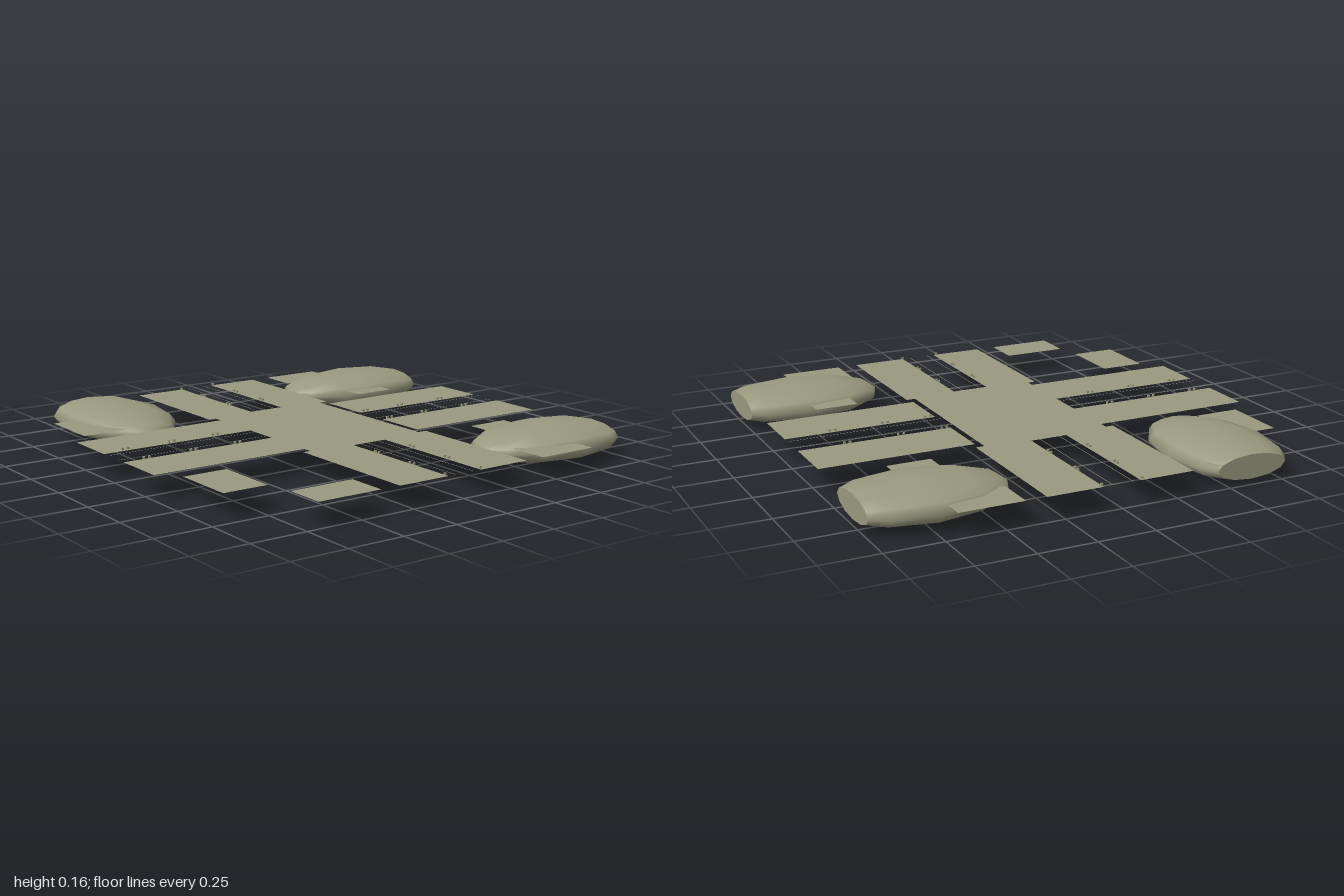
import * as THREE from 'three';

const LEVEL = 0.105;
const material = new THREE.MeshStandardMaterial({ color: 0x9a9a80 });
const thin = new THREE.MeshStandardMaterial({ color: 0x9a9a80, side: THREE.DoubleSide });

function add(parent, name, geometry, mat = material) {
  const mesh = new THREE.Mesh(geometry, mat);
  mesh.name = name;
  parent.add(mesh);
  return mesh;
}

// Flat rectangle between two corners on the ground level
function slab(parent, name, x0, x1, z0, z1) {
  const geometry = new THREE.PlaneGeometry(Math.abs(x1 - x0), Math.abs(z1 - z0)).rotateX(-Math.PI / 2);
  add(parent, name, geometry, thin).position.set((x0 + x1) / 2, LEVEL, (z0 + z1) / 2);
}

// Flattened egg-shaped mound, cut off flat at the back, tip towards +z
function mound(name, x, z, turn) {
  const group = new THREE.Group();
  group.name = name;
  const profile = [[0.162, -0.265], [0.208, -0.193], [0.24, 0], [0.208, 0.193], [0.12, 0.333], [0, 0.385]]
    .map(([r, h]) => new THREE.Vector2(r, h));
  const flatten = g => g.rotateX(Math.PI / 2).scale(1, 0.325, 1);
  add(group, 'moundBody', flatten(new THREE.LatheGeometry(profile, 12)));
  const cap = new THREE.CircleGeometry(0.162, 12).rotateX(Math.PI / 2).translate(0, -0.265, 0);
  add(group, 'moundCutFace', flatten(cap));
  group.position.set(x, 0.079, z);
  group.rotation.y = turn;
  return group;
}

// Thin kerb line running along two roads and rounding the corner between them
function kerbLine(sx, sz) {
  const near = 0.045, far = 1, r = 0.04, w = 0.0015;
  const shape = new THREE.Shape();
  shape.moveTo(far, near - w);
  shape.lineTo(near + r, near - w);
  shape.absarc(near + r, near + r, r + w, -Math.PI / 2, -Math.PI, true);
  shape.lineTo(near - w, far);
  shape.lineTo(near + w, far);
  shape.lineTo(near + w, near + r);
  shape.absarc(near + r, near + r, r - w, Math.PI, Math.PI * 1.5, false);
  shape.lineTo(far, near + w);
  const geometry = new THREE.ShapeGeometry(shape, 6).rotateX(Math.PI / 2);
  geometry.scale(sx, 1, sz);
  geometry.translate(0, LEVEL + 0.001, 0);
  // Keep the line facing up whichever corner it belongs to
  geometry.computeVertexNormals();
  const normals = geometry.attributes.normal;
  for (let i = 0; i < normals.count; i++) normals.setXYZ(i, 0, 1, 0);
  return geometry;
}

export function createModel() {
  const model = new THREE.Group();
  model.name = 'crossroads';

  // Central square
  slab(model, 'crossing', -0.39, 0.39, -0.29, 0.285);

  for (const s of [-1, 1]) {
    // Pavements beside the four arms
    slab(model, 'backPavement', s * 0.082, s * 0.325, -1, -0.315);
    slab(model, 'frontPavement', s * 0.082, s * 0.325, 0.285, 1);
    slab(model, 'sidePavementBack', s * 0.365, s, -0.33, -0.085);
    slab(model, 'sidePavementFront', s * 0.365, s, 0.08, 0.32);

    // Small building plots
    slab(model, 'backInnerPlot', s * 0.41, s * 0.7, -0.745, -0.55);
    slab(model, 'backOuterPlot', s * 0.82, s, -0.7, -0.42);
    slab(model, 'frontInnerPlot', s * 0.41, s * 0.7, 0.72, 0.92);
    slab(model, 'frontOuterPlot', s * 0.82, s, 0.41, 0.7);

    for (const t of [-1, 1]) add(model, 'kerbLine', kerbLine(s, t), thin);

    // Tiny street fixtures in pairs along the pavement edges
    const fixture = (x, z) =>
      add(model, 'streetFixture', new THREE.BoxGeometry(0.009, 0.009, 0.009)).position.set(x, LEVEL + 0.008, z);
    for (const d of [0, 0.025]) {
      for (const z of [-0.8, -0.56, -0.36, 0.45, 0.665, 0.885]) fixture(s * 0.09, z + d);
      for (const x of [-0.8, -0.575, 0.55, 0.775]) fixture(x + d, s * 0.09);
    }
    for (const x of [-0.99, 0.99]) fixture(x, s * 0.09);
  }

  // Mounds in three of the quarters
  model.add(
    mound('backRightMound', -0.7, -0.735, 0),
    mound('backLeftMound', 0.7, -0.735, 0),
    mound('frontRightMound', -0.735, 0.6, Math.PI / 2),
  );
  return model;
}
